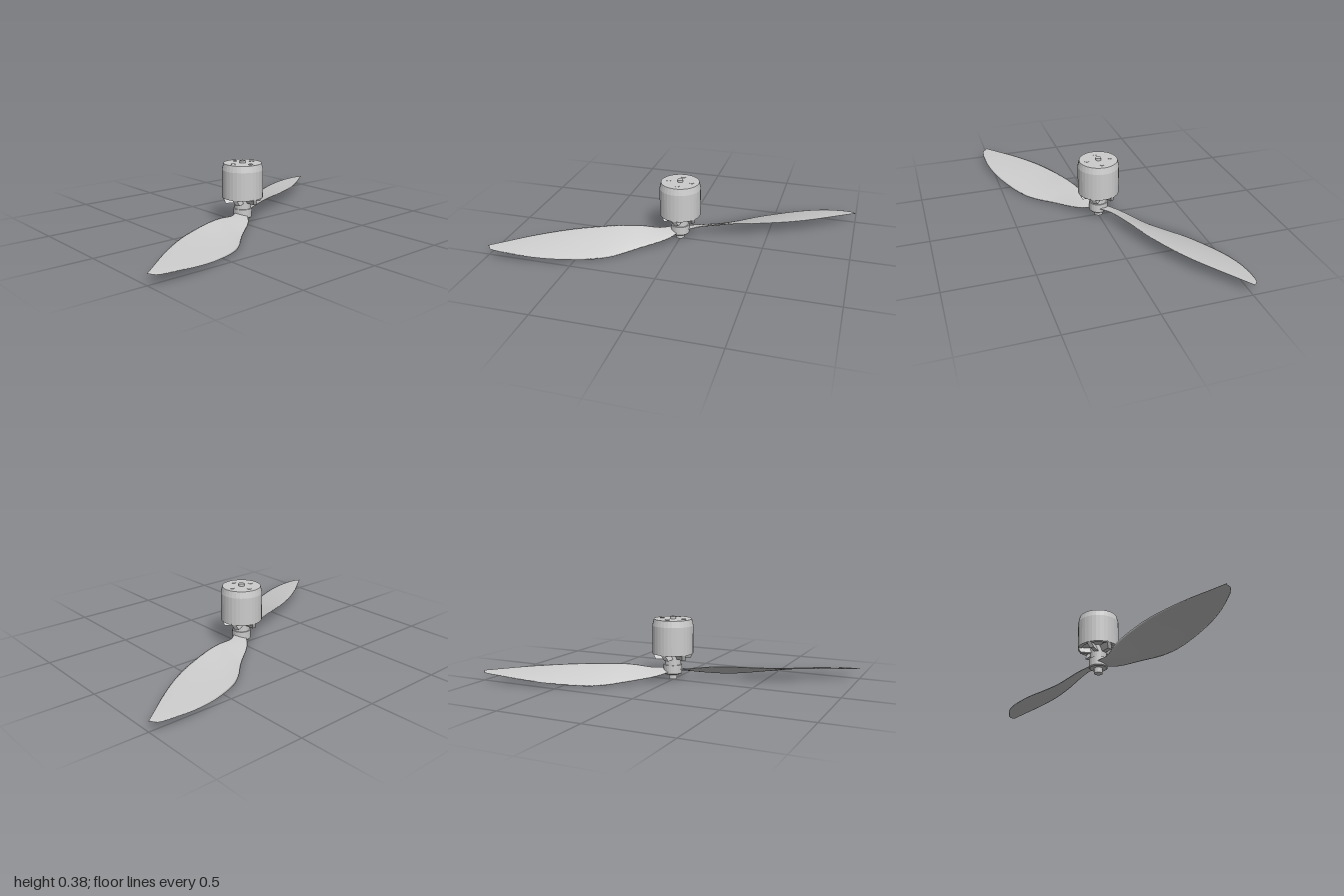
import * as THREE from 'three';

const flat = new THREE.MeshStandardMaterial({ color: 0xcccccc, flatShading: true });
const smooth = new THREE.MeshStandardMaterial({ color: 0xcccccc, side: THREE.DoubleSide });

function add(parent, name, geometry, material = flat) {
  const mesh = new THREE.Mesh(geometry, material);
  mesh.name = name;
  parent.add(mesh);
  return mesh;
}

function lathe(points, sides = 32) {
  return new THREE.LatheGeometry(points.map(([r, y]) => new THREE.Vector2(r, y)), sides);
}

// Thin lens-shaped sections lofted between the low and high edge curves
function bladeGeometry() {
  const curve = (pts) => new THREE.CatmullRomCurve3(pts.map((p) => new THREE.Vector3(...p)));
  const low = curve([
    [0, 0.056, -0.045], [0.05, 0.038, -0.112], [0.2, 0.012, -0.23], [0.3, 0.002, -0.325],
    [0.4, 0.006, -0.4], [0.6, 0.025, -0.49], [0.72, 0.038, -0.525], [0.84, 0.049, -0.54],
    [0.97, 0.056, -0.532], [0.995, 0.06, -0.505],
  ]);
  const high = curve([
    [0.045, 0.068, 0.015], [0.117, 0.073, -0.037], [0.22, 0.086, -0.066], [0.32, 0.09, -0.098],
    [0.44, 0.087, -0.142], [0.58, 0.083, -0.205], [0.7, 0.078, -0.275], [0.82, 0.073, -0.36],
    [0.92, 0.067, -0.44], [1, 0.062, -0.503],
  ]);
  const rows = 36, half = 8, ring = half * 2;
  const pos = [], index = [];
  for (let i = 0; i <= rows; i++) {
    const t = i / rows, a = low.getPoint(t), b = high.getPoint(t);
    const chord = b.clone().sub(a);
    const along = new THREE.Vector3(0.89, 0, -0.45);
    const up = chord.clone().cross(along).normalize();
    if (up.y < 0) up.negate();
    for (let j = 0; j < ring; j++) {
      const angle = (j / ring) * Math.PI * 2;
      const p = a.clone().addScaledVector(chord, 0.5 - 0.5 * Math.cos(angle));
      p.addScaledVector(up, Math.sin(angle) * (0.007 - 0.005 * t));
      pos.push(p.x, p.y, p.z);
    }
  }
  for (let i = 0; i < rows; i++) {
    for (let j = 0; j < ring; j++) {
      const a = i * ring + j, b = i * ring + ((j + 1) % ring);
      index.push(a, b, a + ring, b, b + ring, a + ring);
    }
  }
  // Root and tip caps
  for (let j = 1; j < ring - 1; j++) {
    const e = rows * ring;
    index.push(0, j + 1, j, e, e + j, e + j + 1);
  }
  const g = new THREE.BufferGeometry();
  g.setAttribute('position', new THREE.Float32BufferAttribute(pos, 3));
  g.setIndex(index);
  g.computeVertexNormals();
  return g;
}

// Swept arm that joins the bell rim to the neck
function armGeometry() {
  const s = new THREE.Shape();
  s.moveTo(0.03, 0.132);
  s.lineTo(0.104, 0.132);
  s.lineTo(0.12, 0.168);
  s.lineTo(0.03, 0.168);
  const depth = 0.026;
  const g = new THREE.ExtrudeGeometry(s, { depth, bevelEnabled: false });
  g.translate(0, 0, -depth / 2);
  const p = g.attributes.position;
  for (let i = 0; i < p.count; i++) p.setZ(i, p.getZ(i) + (p.getY(i) - 0.15) * 0.45);
  g.computeVertexNormals();
  return g;
}

export function createModel() {
  const model = new THREE.Group();
  model.name = 'motorWithPropeller';

  // Motor bell with chamfered shoulder
  const motor = new THREE.Group();
  motor.name = 'motor';
  model.add(motor);
  add(motor, 'bell', lathe([
    [0, 0.172], [0.095, 0.172], [0.1, 0.164], [0.121, 0.164],
    [0.121, 0.33], [0.112, 0.368], [0, 0.368],
  ]));
  const arm = armGeometry();
  for (let i = 0; i < 6; i++) {
    add(motor, 'bellArm', arm).rotation.y = Math.PI / 2 + (i * Math.PI) / 3;
  }

  // Screws and shaft end on the top face
  for (let i = 0; i < 4; i++) {
    const a = (i * Math.PI) / 2;
    add(motor, 'screw', new THREE.CylinderGeometry(0.014, 0.014, 0.006, 16))
      .position.set(Math.cos(a) * 0.07, 0.367, Math.sin(a) * 0.07);
  }
  add(motor, 'shaftEnd', new THREE.CylinderGeometry(0.017, 0.017, 0.02, 16)).position.y = 0.372;

  // Neck, propeller hub and lower shaft
  add(model, 'neck', new THREE.CylinderGeometry(0.048, 0.048, 0.08, 24)).position.y = 0.132;
  add(model, 'hub', lathe([[0, 0.04], [0.05, 0.04], [0.055, 0.046], [0.055, 0.096], [0, 0.096]], 24));
  add(model, 'shaft', new THREE.CylinderGeometry(0.025, 0.025, 0.06, 20)).position.y = 0.038;

  // Two opposite blades
  const blade = bladeGeometry();
  for (let i = 0; i < 2; i++) add(model, 'blade', blade, smooth).rotation.y = i * Math.PI;

  return model;
}
